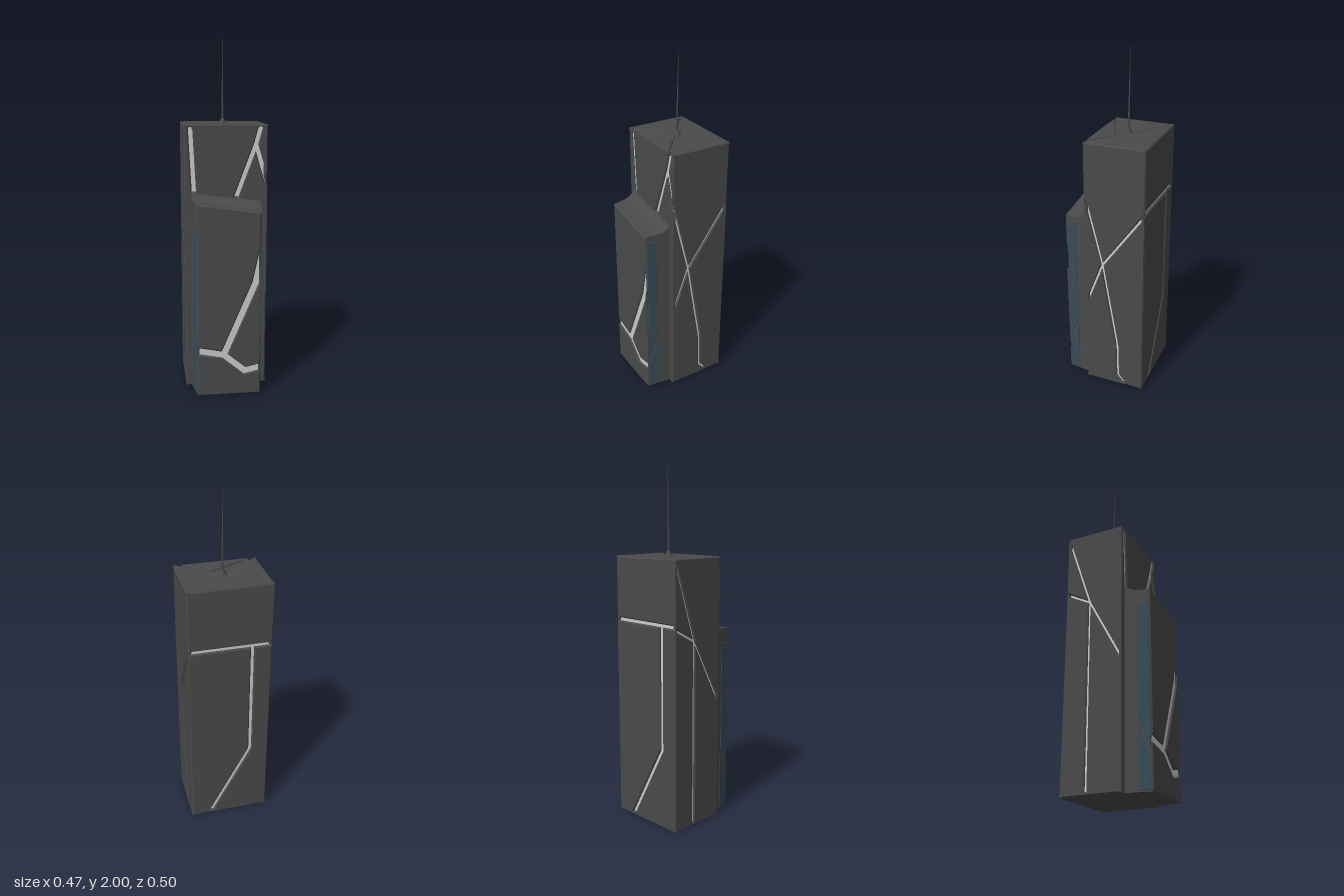
import * as THREE from 'three';

const dark = new THREE.MeshStandardMaterial({ color: 0x4a4a4a });
const pale = new THREE.MeshStandardMaterial({ color: 0xcccccc });
const blue = new THREE.MeshStandardMaterial({ color: 0x384c58 });
const BEVEL = 0.007, THICK = 0.02;
const W = 0.235, BACK = 0.25, FRONT = 0.105, H = 1.53;

// Move every edge shared with another shard inwards by half the crack width
function shrink(poly, others, half) {
  const n = poly.length;
  const same = (a, b) => a[0] === b[0] && a[1] === b[1];
  const edges = poly.map((a, i) => {
    const b = poly[(i + 1) % n];
    const dx = b[0] - a[0], dy = b[1] - a[1], len = Math.hypot(dx, dy);
    const shared = others.some(o => o !== poly &&
      o.some((p, j) => same(p, b) && same(o[(j + 1) % o.length], a)));
    const k = shared ? half / len : 0;
    return { x: a[0] - dy * k, y: a[1] + dx * k, dx, dy };
  });
  return edges.map((e, i) => {
    const p = edges[(i + n - 1) % n];
    const cross = p.dx * e.dy - p.dy * e.dx;
    if (Math.abs(cross) < 1e-6) return new THREE.Vector2(e.x, e.y);
    const t = ((e.x - p.x) * e.dy - (e.y - p.y) * e.dx) / cross;
    return new THREE.Vector2(p.x + p.dx * t, p.y + p.dy * t);
  });
}

// A wall of bevelled shards whose outer surface lies on local z = 0
function shardWall(name, half, polys, material = dark) {
  const wall = new THREE.Group();
  wall.name = name;
  for (const poly of polys) {
    const geo = new THREE.ExtrudeGeometry(new THREE.Shape(shrink(poly, polys, half)), {
      depth: THICK - 2 * BEVEL, bevelThickness: BEVEL, bevelSize: BEVEL,
      bevelOffset: -BEVEL, bevelSegments: 1
    });
    geo.translate(0, 0, BEVEL - THICK);
    const mesh = new THREE.Mesh(geo, material);
    mesh.name = name + 'Shard';
    wall.add(mesh);
  }
  return wall;
}

function box(name, min, max, material) {
  const size = max.map((v, i) => v - min[i]);
  const geo = new THREE.BoxGeometry(...size);
  geo.translate(...min.map((v, i) => v + size[i] / 2));
  const mesh = new THREE.Mesh(geo, material);
  mesh.name = name;
  return mesh;
}

export function createModel() {
  const model = new THREE.Group();
  model.name = 'crackedTower';
  const add = (part, pos = [0, 0, 0], rot = [0, 0, 0]) => {
    part.position.set(...pos);
    part.rotation.set(...rot);
    model.add(part);
  };

  // Pale core seen through the cracks, dark under the roof
  const c = 0.011;
  add(box('core', [-W + c, c, -BACK + c], [W - c, H - c - 0.002, FRONT - c], pale));
  add(box('roofCore', [-W + c, H - 0.03, -BACK + c], [W - c, H - c, FRONT - c], dark));

  // Tower walls
  add(shardWall('frontWall', 0.012, [
    [[-W, 0], [-0.18, 0], [-0.18, 1.15], [-0.2, H], [-W, H]],
    [[-0.18, 0], [0.04, 0], [0.05, 1.1], [0.17, 1.42], [0.2, H], [-0.2, H], [-0.18, 1.15]],
    [[0.04, 0], [W, 0], [W, 1.2], [0.17, 1.42], [0.05, 1.1]],
    [[0.17, 1.42], [W, 1.2], [W, H], [0.2, H]]
  ]), [0, 0, FRONT]);

  const X = [0, 0.81];
  add(shardWall('rightWall', 0.006, [
    [[-FRONT, 1.23], X, [BACK, 1.16], [BACK, H], [-FRONT, H]],
    [[-FRONT, 0.53], X, [-FRONT, 1.23]],
    [[0.15, 0], [BACK, 0], [BACK, 1.16], X, [0.09, 0.28], [0.095, 0.06]],
    [[-FRONT, 0], [0.15, 0], [0.095, 0.06], [0.09, 0.28], X, [-FRONT, 0.53]]
  ]), [W, 0, 0], [0, Math.PI / 2, 0]);

  const P = [-0.1, 1.08];
  add(shardWall('leftWall', 0.006, [
    [[-BACK, H], P, [FRONT, 0.7], [FRONT, H]],
    [[-BACK, 1.16], P, [-BACK, H]],
    [[-BACK, 0], [-0.1, 0], P, [-BACK, 1.16]],
    [[-0.1, 0], [FRONT, 0], [FRONT, 0.7], P]
  ]), [-W, 0, 0], [0, -Math.PI / 2, 0]);

  add(shardWall('backWall', 0.009, [
    [[-W, 1.17], [0.125, 1.17], [W, 1.17], [W, H], [-W, H]],
    [[-W, 0], [-0.12, 0], [0.125, 0.46], [0.125, 1.17], [-W, 1.17]],
    [[-0.12, 0], [W, 0], [W, 1.17], [0.125, 1.17], [0.125, 0.46]]
  ]), [0, 0, -BACK], [0, Math.PI, 0]);

  add(shardWall('roof', 0.008, [
    [[0.2, -FRONT], [W, -FRONT], [W, BACK], [-W, BACK], [0, 0.07], [0.05, 0.02]],
    [[-W, BACK], [-W, -FRONT], [-0.21, -FRONT], [0.05, 0.02], [0, 0.07]],
    [[-0.21, -FRONT], [0.2, -FRONT], [0.05, 0.02]]
  ]), [0, H, 0], [-Math.PI / 2, 0, 0]);

  add(shardWall('underside', 0.004, [
    [[-W, -BACK], [W, -BACK], [W, -0.15], [-W, -0.085]],
    [[-W, -0.085], [W, -0.15], [W, 0.06]],
    [[-W, -0.085], [W, 0.06], [W, FRONT], [-W, FRONT]]
  ]), [0, 0, 0], [Math.PI / 2, 0, 0]);

  // Front slab: tapers forwards, its top falls to +x and rises to meet the tower
  const slab = new THREE.BoxGeometry(2, 1, 1, 4, 1, 6).toNonIndexed();
  const pos = slab.attributes.position;
  for (let i = 0; i < pos.count; i++) {
    const t = pos.getZ(i) + 0.5;
    const x = pos.getX(i) * (0.202 - 0.022 * t);
    const top = 1.085 - 0.13 * x + 0.05 * Math.pow(1 - t, 4);
    pos.setXYZ(i, x, pos.getY(i) > 0 ? top : 0.002, 0.095 + 0.144 * t);
  }
  slab.computeVertexNormals();
  const slabMesh = new THREE.Mesh(slab, dark);
  slabMesh.name = 'slab';
  add(slabMesh);
  add(box('slabCore', [-0.168, 0.02, 0.225], [0.168, 1.04, 0.2405], pale));

  add(shardWall('slabFace', 0.018, [
    [[-0.18, 0], [0.18, 0], [0.18, 0.16], [0.09, 0.14], [-0.03, 0.24], [-0.18, 0.27]],
    [[-0.18, 0.27], [-0.03, 0.24], [0.15, 0.66], [0.18, 0.8], [0.18, 1.06], [-0.18, 1.11]],
    [[-0.03, 0.24], [0.09, 0.14], [0.18, 0.16], [0.18, 0.8], [0.15, 0.66]]
  ]), [0, 0, 0.25]);

  // Blue-grey panels on the slab's flanks
  const lower = [[0, 0.005], [0.07, 0.005], [0.07, 0.18], [0, 0.37]];
  const upper = [[0, 0.37], [0.07, 0.18], [0.07, 1.03], [0, 1.03]];
  const flip = poly => poly.map(([u, v]) => [-u, v]).reverse();
  const lean = Math.atan(0.022 / 0.144);
  add(shardWall('leftFlank', 0.006, [lower, upper], blue),
    [-0.193, 0, 0.173], [0, -Math.PI / 2 + lean, 0]);
  add(shardWall('rightFlank', 0.006, [flip(lower), flip(upper)], blue),
    [0.193, 0, 0.173], [0, Math.PI / 2 - lean, 0]);

  // Spire on a small mound
  const mound = new THREE.Mesh(new THREE.ConeGeometry(0.03, 0.05, 8), dark);
  mound.name = 'spireMound';
  add(mound, [0, H + 0.015, -0.065]);
  const spire = new THREE.Mesh(new THREE.CylinderGeometry(0.001, 0.007, 0.48, 6), dark);
  spire.name = 'spire';
  add(spire, [0, 1.76, -0.067], [-0.015, 0, 0]);

  return model;
}
